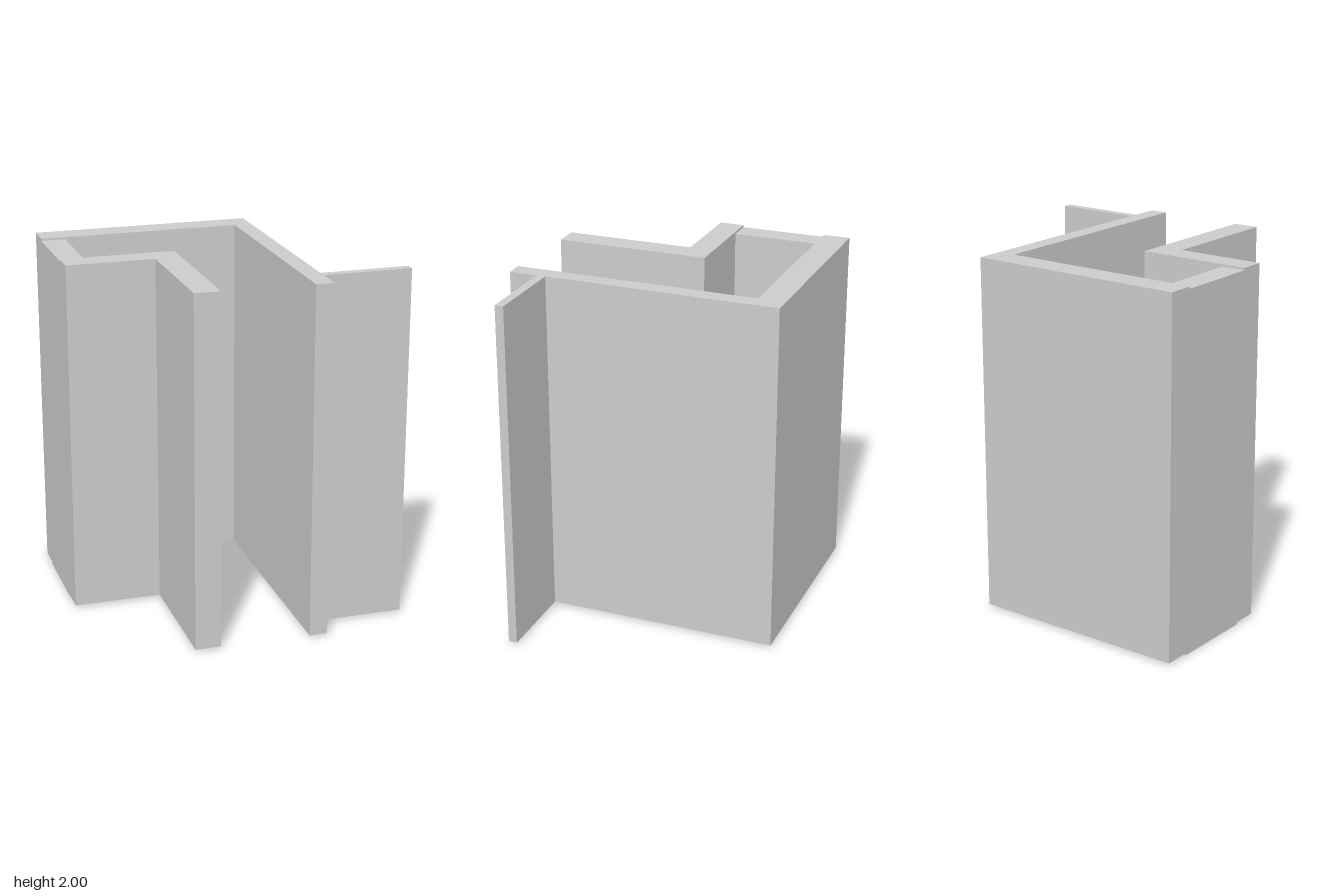
import * as THREE from 'three';

const material = new THREE.MeshStandardMaterial({ color: 0xcccccc, flatShading: true });
const HEIGHT = 1.988; // every wall has the same height
const DROP = 0.012;   // the side wall sits this much lower than the rest

// Upright wall from a floor-plan outline of [x, z] points
function wall(name, plan, bottom) {
  const shape = new THREE.Shape(plan.map(([x, z]) => new THREE.Vector2(x, -z)));
  const geometry = new THREE.ExtrudeGeometry(shape, { depth: HEIGHT, bevelEnabled: false });
  geometry.rotateX(-Math.PI / 2);
  geometry.translate(0, bottom, 0);
  const mesh = new THREE.Mesh(geometry, material);
  mesh.name = name;
  return mesh;
}

export function createModel() {
  const group = new THREE.Group();
  group.name = 'wallProfile';

  // Back wall, long wall and thin fin in one outline
  group.add(wall('backAndLongWall', [
    [-0.87, -0.765], [0.37, -0.765], [0.37, 0.553], [0.867, 0.553], [0.867, 0.602],
    [0.37, 0.602], [0.37, 0.762], [0.27, 0.762], [0.27, -0.613], [-0.87, -0.613],
  ], DROP));

  // Lowered wall closing the alcove
  group.add(wall('alcoveSideWall', [
    [-0.87, -0.613], [-0.733, -0.613], [-0.733, -0.127], [-0.87, -0.127],
  ], 0));

  // Stepped wall: alcove front and short wall
  group.add(wall('steppedWall', [
    [-0.87, -0.127], [-0.232, -0.127], [-0.232, 0.742],
    [-0.376, 0.742], [-0.376, 0.012], [-0.87, 0.012],
  ], DROP));

  return group;
}
